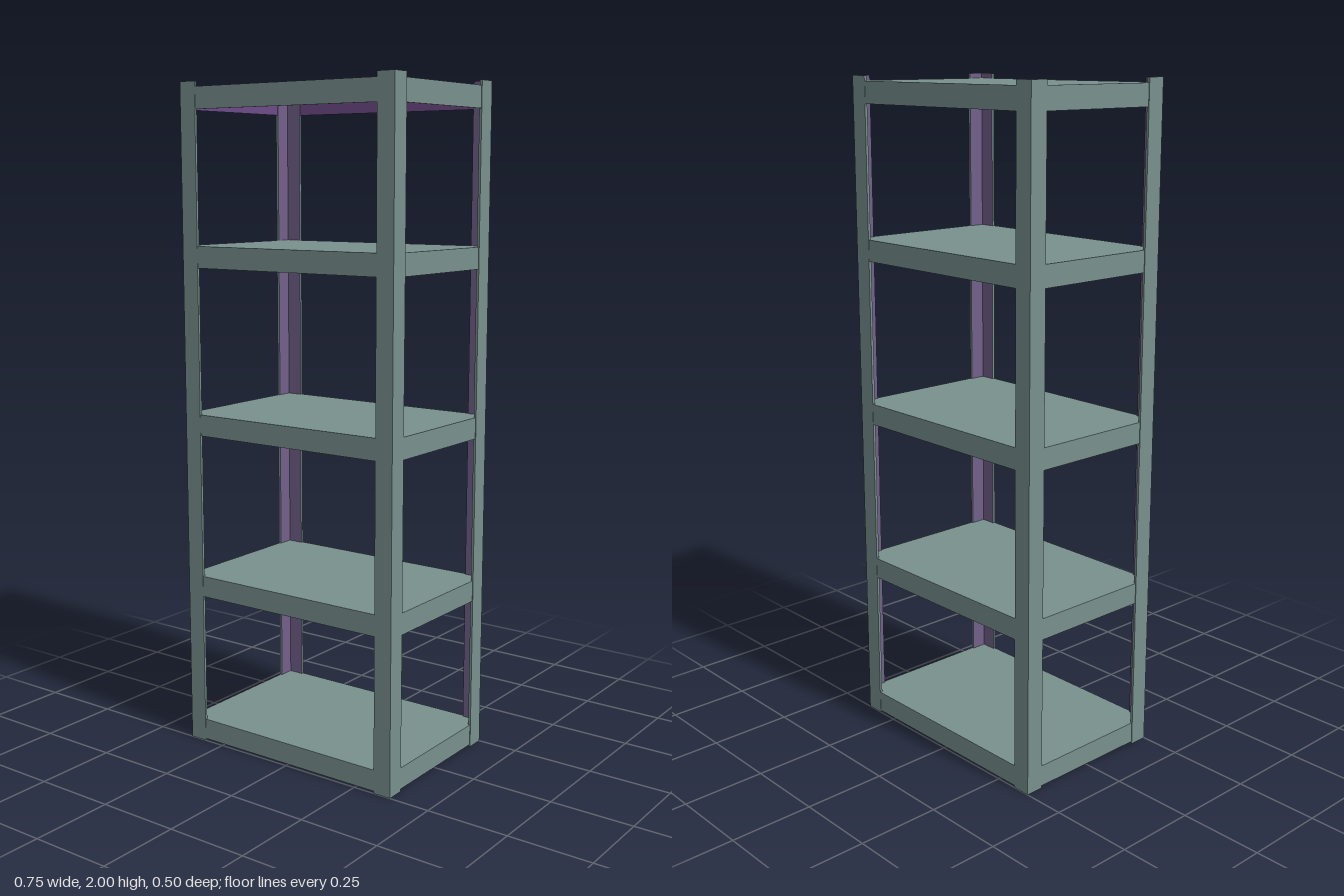
import * as THREE from 'three';

export function createModel() {
  const material = (name, color) => {
    const m = new THREE.MeshStandardMaterial({ color });
    m.name = name;
    return m;
  };
  const green = material('greyGreen', 0x78918d);
  const purple = material('deepPurple', 0x6a0088);
  const violet = material('dustyViolet', 0x6e4b88);
  const mauve = material('greyMauve', 0x71608a);

  const rack = new THREE.Group();
  rack.name = 'shelvingRack';

  // Sheet-metal plate: green all round except the listed inner faces
  // (face order: +x, -x, +y, -y, +z, -z)
  const plate = (parent, name, size, pos, innerFaces, inner) => {
    const mats = Array.from({ length: 6 }, (_, i) => (innerFaces.includes(i) ? inner : green));
    const mesh = new THREE.Mesh(new THREE.BoxGeometry(...size), mats);
    mesh.name = name;
    mesh.position.set(...pos);
    parent.add(mesh);
  };

  // Corner posts: L-shaped angle profiles, mauve on the inside
  const X = 0.373, Z = 0.25, flange = 0.056, t = 0.008;
  for (const sx of [-1, 1]) {
    for (const sz of [-1, 1]) {
      const post = new THREE.Group();
      post.name = `${sz > 0 ? 'front' : 'back'}${sx > 0 ? 'Left' : 'Right'}Post`;
      plate(post, 'wideFlange', [flange, 2, t],
        [sx * (X - flange / 2), 1, sz * (Z - t / 2)], [sz > 0 ? 5 : 4], mauve);
      // the back side flanges also have a mauve top edge
      const sideFaces = [sx > 0 ? 1 : 0];
      if (sz < 0) sideFaces.push(2);
      plate(post, 'sideFlange', [t, 2, flange - t],
        [sx * (X - t / 2), 1, sz * (Z - t - (flange - t) / 2)], sideFaces, mauve);
      rack.add(post);
    }
  }

  // Shelves: trays with folded-down lips, deep purple underneath
  const sx0 = 0.371, sz0 = 0.249, height = 0.064, s = 0.004;
  [0.07, 0.53, 1.03, 1.53, 1.985].forEach((top, i) => {
    const shelf = new THREE.Group();
    shelf.name = `shelf${i + 1}`;
    shelf.position.y = top;
    plate(shelf, 'shelfTop', [2 * sx0, s, 2 * sz0], [0, -s / 2, 0], [3], purple);
    const lip = height - s, y = -s - lip / 2;
    for (const d of [-1, 1]) {
      plate(shelf, d > 0 ? 'frontLip' : 'backLip', [2 * sx0, lip, s],
        [0, y, d * (sz0 - s / 2)], [d > 0 ? 5 : 4, 3], violet);
      plate(shelf, d > 0 ? 'leftLip' : 'rightLip', [s, lip, 2 * (sz0 - s)],
        [d * (sx0 - s / 2), y, 0], [d > 0 ? 1 : 0, 3], violet);
    }
    rack.add(shelf);
  });

  return rack;
}
